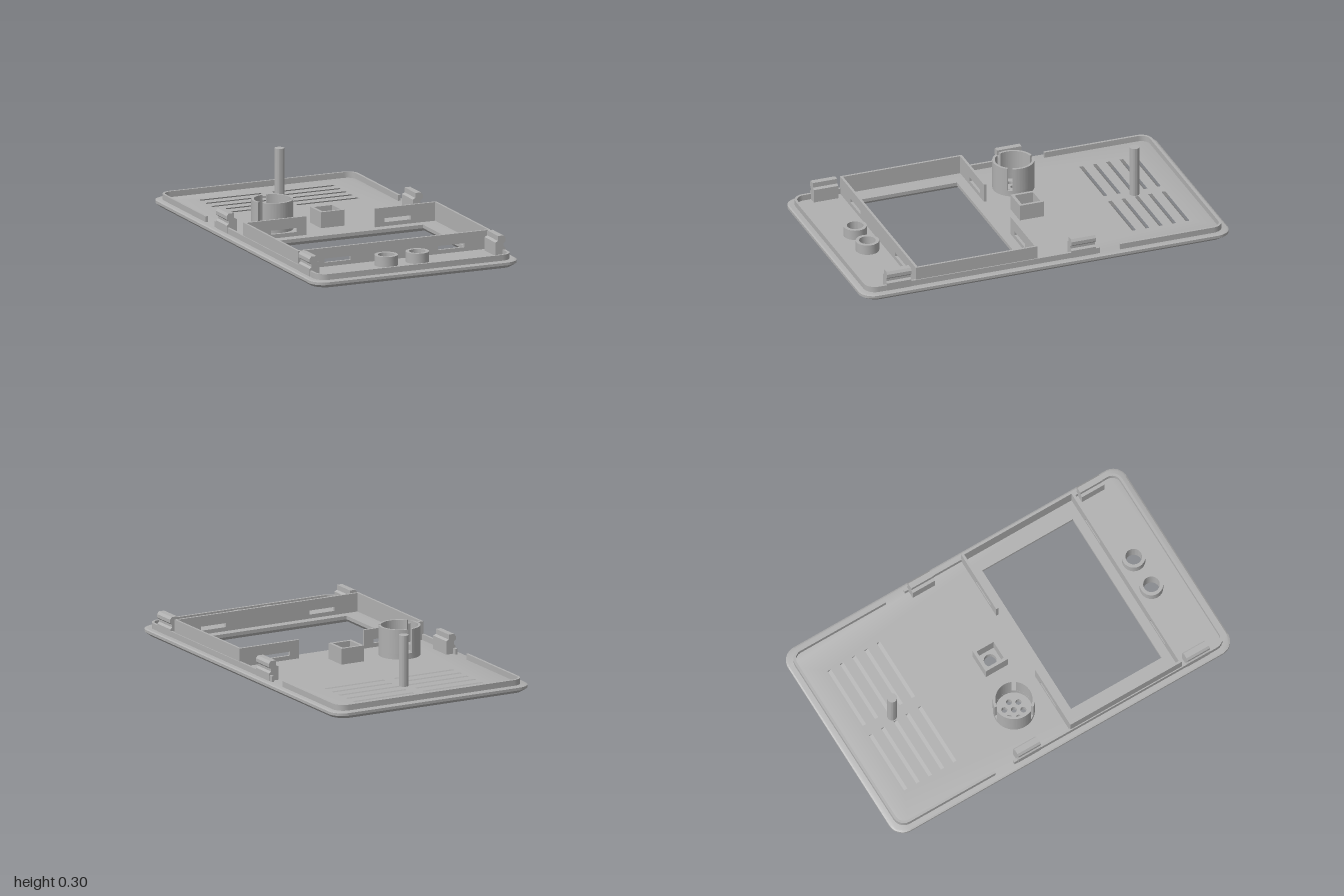
import * as THREE from 'three';
import { toCreasedNormals } from 'three/addons/utils/BufferGeometryUtils.js';

const TOP = 0.035; // floor height of the panel

// Plan outlines use (x, z); z is negated so the extrusion can be turned upright.
function rect(T, x0, x1, z0, z1) {
  const p = new T();
  p.moveTo(x0, -z1);
  p.lineTo(x1, -z1);
  p.lineTo(x1, -z0);
  p.lineTo(x0, -z0);
  p.closePath();
  return p;
}
function circle(T, x, z, r) {
  const p = new T();
  p.absarc(x, -z, r, 0, Math.PI * 2, false);
  return p;
}
function roundRect(w, h, r) {
  const s = new THREE.Shape();
  s.absarc(w - r, h - r, r, 0, Math.PI / 2, false);
  s.absarc(-w + r, h - r, r, Math.PI / 2, Math.PI, false);
  s.absarc(-w + r, -h + r, r, Math.PI, Math.PI * 1.5, false);
  s.absarc(w - r, -h + r, r, Math.PI * 1.5, Math.PI * 2, false);
  s.closePath();
  return s;
}
function upright(shape, y0, y1, steps = 1) {
  const g = new THREE.ExtrudeGeometry(shape, { depth: y1 - y0, bevelEnabled: false, curveSegments: 16, steps });
  return g.rotateX(-Math.PI / 2).translate(0, y0, 0);
}

export function createModel() {
  const model = new THREE.Group();
  const grey = new THREE.MeshStandardMaterial({ color: 0xb0b0b0 });
  grey.name = 'grey plastic';
  const add = (name, geometry) => {
    const m = new THREE.Mesh(toCreasedNormals(geometry, 0.5), grey);
    m.name = name;
    model.add(m);
    return m;
  };

  // Face plate with window, vents, sound holes and button holes
  const plate = roundRect(0.575, 1, 0.08);
  plate.holes.push(rect(THREE.Path, -0.435, 0.435, 0.11, 0.645));
  for (let i = 0; i < 5; i++) {
    const z = -0.83 + i * 0.0725;
    plate.holes.push(rect(THREE.Path, -0.375, -0.03, z - 0.01, z + 0.01));
    plate.holes.push(rect(THREE.Path, 0.03, 0.375, z - 0.01, z + 0.01));
  }
  const speaker = { x: -0.29, z: -0.14 };
  plate.holes.push(circle(THREE.Path, speaker.x, speaker.z, 0.015));
  for (let i = 0; i < 6; i++) {
    const a = i * Math.PI / 3;
    plate.holes.push(circle(THREE.Path, speaker.x + 0.048 * Math.cos(a), speaker.z + 0.048 * Math.sin(a), 0.015));
  }
  plate.holes.push(circle(THREE.Path, 0, -0.105, 0.033));
  for (const s of [-1, 1]) plate.holes.push(circle(THREE.Path, s * 0.087, 0.795, 0.042));

  // Chamfer the rim and window, and slant the vents
  const plateGeo = upright(plate, 0, TOP, 3);
  const p = plateGeo.attributes.position;
  const levels = [0, 0.017, 0.031, TOP];
  const insets = [0.02, 0, 0, 0.007];
  for (let i = 0; i < p.count; i++) {
    let x = p.getX(i), z = p.getZ(i);
    const k = Math.round(p.getY(i) / TOP * 3);
    if (Math.abs(x) > 0.49 || Math.abs(z) > 0.9) {
      x *= 1 - insets[k] / 0.575;
      z *= 1 - insets[k];
    } else if (z < -0.5) {
      z -= 0.03 * (1 - levels[k] / TOP);
    } else if (z > 0.1 && z < 0.66 && k === 0) {
      x += Math.sign(x) * 0.015;
      z += Math.sign(z - 0.38) * 0.015;
    }
    p.setXYZ(i, x, levels[k], z);
  }
  add('facePlate', plateGeo);

  // Raised lip in two U-shaped runs, open at the side gaps
  const lip = (zEnd, dir) => {
    const s = new THREE.Shape();
    const run = (w, h, r, back) => {
      const c = [[w, zEnd], [w, dir * (h - r)]];
      for (let i = 1; i <= 6; i++) {
        const a = i * Math.PI / 12;
        c.push([w - r + r * Math.cos(a), dir * (h - r + r * Math.sin(a))]);
      }
      const all = [...c, ...c.map(([x, z]) => [-x, z]).reverse()];
      return back ? all.reverse() : all;
    };
    const pts = [...run(0.543, 0.967, 0.06, false), ...run(0.53, 0.954, 0.047, true)];
    s.setFromPoints(pts.map(([x, z]) => new THREE.Vector2(x, -z)));
    return upright(s, TOP - 0.003, 0.065);
  };
  add('frontLip', lip(-0.29, 1));
  add('backLip', lip(-0.4, -1));

  // Screen frame walls, with slots in the front and back ones
  const wall = (name, x0, x1, z, slots) => {
    const s = rect(THREE.Shape, x0, x1, -0.132, -(TOP - 0.003));
    for (const c of slots) s.holes.push(rect(THREE.Path, c - 0.073, c + 0.073, -0.077, -0.056));
    const g = new THREE.ExtrudeGeometry(s, { depth: 0.013, bevelEnabled: false });
    add(name, g.translate(0, 0, z));
  };
  wall('frameFrontWall', -0.537, 0.537, 0.692, [-0.317, 0.317]);
  wall('frameBackWallRight', -0.537, -0.19, 0.045, [-0.317]);
  wall('frameBackWallLeft', 0.19, 0.537, 0.045, [0.317]);
  for (const s of [-1, 1]) {
    const side = new THREE.BoxGeometry(0.012, 0.1, 0.66);
    add('frameSideWall', side.translate(s * 0.5315, 0.082, 0.375));
  }

  // Snap clips with a notch on the outer face
  const clip = [[0.49, 0.032], [0.545, 0.032], [0.545, 0.075], [0.534, 0.084], [0.534, 0.097], [0.546, 0.107],
    [0.546, 0.125], [0.536, 0.138], [0.505, 0.138], [0.505, 0.112], [0.49, 0.105]];
  for (const s of [-1, 1]) {
    const shape = new THREE.Shape(clip.map(([x, y]) => new THREE.Vector2(s * x, y)));
    for (const z of [-0.267, 0.732]) {
      const g = new THREE.ExtrudeGeometry(shape, { depth: 0.132, bevelEnabled: false });
      add('snapClip', g.translate(0, 0, z));
    }
  }

  // Speaker holder: low ring and three raised arcs
  const ring = (name, x, z, R, r, y1) => {
    const s = circle(THREE.Shape, x, z, R);
    s.holes.push(circle(THREE.Path, x, z, r));
    add(name, upright(s, TOP - 0.003, y1));
  };
  ring('speakerRing', speaker.x, speaker.z, 0.107, 0.094, 0.065);
  for (let i = 0; i < 3; i++) {
    const a0 = Math.PI / 2 + i * Math.PI * 2 / 3 + 0.12, a1 = a0 + Math.PI * 2 / 3 - 0.24;
    const s = new THREE.Shape();
    s.absarc(speaker.x, -speaker.z, 0.107, a0, a1, false);
    s.absarc(speaker.x, -speaker.z, 0.094, a1, a0, true);
    s.closePath();
    add('speakerHolderArc', upright(s, 0.065, 0.19));
  }

  // Button collars
  for (const s of [-1, 1]) ring('buttonCollar', s * 0.087, 0.795, 0.06, 0.042, 0.088);

  // Square sensor housing
  const box = rect(THREE.Shape, -0.066, 0.066, -0.171, -0.039);
  box.holes.push(rect(THREE.Path, -0.05, 0.05, -0.155, -0.055));
  add('sensorHousing', upright(box, TOP - 0.003, 0.118));

  // Support pin
  add('supportPin', new THREE.CylinderGeometry(0.025, 0.025, 0.268, 32).translate(0, 0.168, -0.685));

  return model;
}
